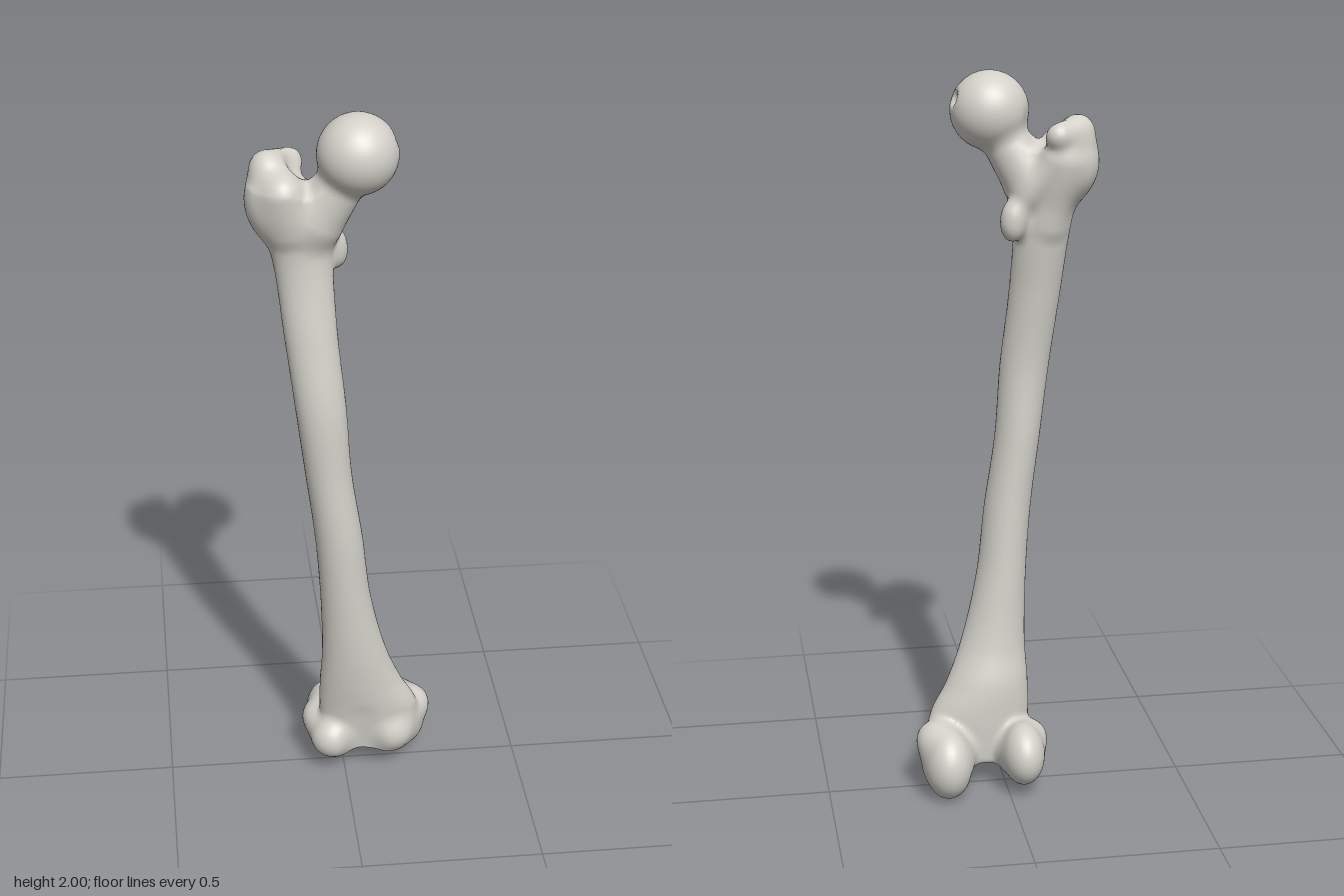
import * as THREE from 'three';

// Distance to an ellipsoid
const ellipsoid = (cx, cy, cz, rx, ry, rz) => (x, y, z) => {
  const a = (x - cx) / rx, b = (y - cy) / ry, c = (z - cz) / rz;
  const k0 = Math.hypot(a, b, c), k1 = Math.hypot(a / rx, b / ry, c / rz);
  return k1 < 1e-6 ? -Math.min(rx, ry, rz) : k0 * (k0 - 1) / k1;
};
const ball = (x, y, z, r) => ellipsoid(x, y, z, r, r, r);

// Distance to a tapered rod with round ends
const rod = (a, ra, b, rb) => {
  const d = b.map((v, i) => v - a[i]);
  const len2 = d[0] ** 2 + d[1] ** 2 + d[2] ** 2;
  return (x, y, z) => {
    const px = x - a[0], py = y - a[1], pz = z - a[2];
    const t = Math.min(1, Math.max(0, (px * d[0] + py * d[1] + pz * d[2]) / len2));
    return Math.hypot(px - d[0] * t, py - d[1] * t, pz - d[2] * t) - ra - (rb - ra) * t;
  };
};

// Shaft cross-sections: y, centre x, centre z, radius x, radius z
const sections = [
  [0.07, 0.065, 0.015, 0.12, 0.055], [0.2, 0.07, 0.02, 0.14, 0.068],
  [0.3, 0.045, 0.03, 0.115, 0.073], [0.4, 0.0275, 0.0475, 0.0925, 0.0675],
  [0.6, 0, 0.065, 0.07, 0.065], [0.8, -0.02, 0.075, 0.065, 0.065],
  [1.0, -0.0475, 0.0775, 0.0625, 0.0625], [1.2, -0.0675, 0.08, 0.0675, 0.06],
  [1.4, -0.09, 0.0575, 0.07, 0.0575], [1.6, -0.1075, 0.03, 0.0775, 0.06],
  [1.7, -0.12, 0.03, 0.09, 0.063], [1.78, -0.135, 0.033, 0.085, 0.06],
];
const sectionAt = new THREE.CubicInterpolant(
  sections.map((s) => s[0]), sections.flatMap((s) => s.slice(1)), 4);
const shaft = (x, y, z) => {
  const [cx, cz, rx, rz] = sectionAt.evaluate(y);
  const c = (z - cz) / rz;
  // Slightly narrower towards the back ridge
  const w = rx * (1 + 0.1 * Math.max(-1, Math.min(0, c)));
  const a = (x - cx) / w;
  const k0 = Math.hypot(a, c), k1 = Math.hypot(a / w, c / rz);
  const d = k1 < 1e-6 ? -Math.min(rx, rz) : k0 * (k0 - 1) / k1;
  return Math.max(d, 0.07 - y, y - 1.78);
};

// Parts of the bone: name, shape, softness of the blend into its neighbours
const parts = [
  ['shaft', shaft, 0],
  ['neck', rod([0.02, 1.87, 0.06], 0.058, [-0.07, 1.72, 0.035], 0.073), 0.04],
  ['greaterTrochanter', ellipsoid(-0.175, 1.765, 0.015, 0.078, 0.1, 0.08), 0.05],
  ['greaterTrochanter', rod([-0.135, 1.84, -0.048], 0.036, [-0.195, 1.848, 0.0], 0.04), 0.035],
  ['greaterTrochanter', rod([-0.16, 1.8, 0.072], 0.045, [-0.14, 1.7, 0.05], 0.045), 0.03],
  ['greaterTrochanter', rod([-0.15, 1.77, -0.038], 0.036, [-0.12, 1.6, 0.0], 0.03), 0.035],
  ['lesserTrochanter', rod([-0.12, 1.77, -0.035], 0.022, [-0.03, 1.64, -0.01], 0.022), 0.03],
  ['lesserTrochanter', ellipsoid(-0.02, 1.61, -0.01, 0.033, 0.05, 0.035), 0.03],
  ['head', ball(0.03, 1.896, 0.065, 0.104), 0.02],
  ['medialCondyle', ellipsoid(0.172, 0.1, -0.075, 0.068, 0.1, 0.093), 0.03],
  ['medialCondyle', rod([0.165, 0.1, -0.04], 0.07, [0.135, 0.12, 0.03], 0.065), 0.03],
  ['medialCondyle', ball(0.2, 0.155, -0.035, 0.054), 0.03],
  ['lateralCondyle', ellipsoid(-0.04, 0.115, -0.075, 0.06, 0.088, 0.09), 0.03],
  ['lateralCondyle', rod([-0.038, 0.105, -0.03], 0.065, [-0.035, 0.11, 0.04], 0.063), 0.03],
  ['lateralCondyle', ball(-0.07, 0.14, -0.02, 0.044), 0.03],
];

// Hollows: knee groove, notch between condyles, trochanter pit, dimple in the head
const hollows = [
  [rod([0.048, 0.0, 0.12], 0.055, [0.045, 0.18, 0.155], 0.055), 0.04],
  [rod([0.06, 0.025, -0.03], 0.036, [0.065, 0.07, -0.15], 0.042), 0.02],
  [ellipsoid(-0.105, 1.87, 0.0, 0.036, 0.05, 0.035), 0.03],
  [ball(0.129, 1.93, 0.056, 0.02), 0.012],
];

const softMin = (a, b, k) => {
  const h = Math.max(k - Math.abs(a - b), 0);
  return Math.min(a, b) - (k > 0 ? h * h / (4 * k) : 0);
};
const bone = (x, y, z) => {
  let d = 1e3;
  for (const [, shape, k] of parts) d = softMin(d, shape(x, y, z), k);
  for (const [shape, k] of hollows) d = -softMin(-d, shape(x, y, z), k);
  return d;
};
const gradient = (x, y, z, e = 0.002) => [
  (bone(x + e, y, z) - bone(x - e, y, z)) / (2 * e),
  (bone(x, y + e, z) - bone(x, y - e, z)) / (2 * e),
  (bone(x, y, z + e) - bone(x, y, z - e)) / (2 * e),
];

// Skin the blended shape with quads, sorted by the part they belong to
function skin() {
  const step = 0.01, min = [-0.2853, -0.0347, -0.2047], n = [58, 208, 42];
  const stride = [1, n[0], n[0] * n[1]];
  const field = new Float32Array(n[0] * n[1] * n[2]);
  const at = (i, j, k) => i + j * stride[1] + k * stride[2];
  const each = (from, fn) => {
    for (let k = from; k < n[2] - 1; k++)
      for (let j = from; j < n[1] - 1; j++)
        for (let i = from; i < n[0] - 1; i++) fn(i, j, k, at(i, j, k));
  };
  field.fill(1);
  each(0, (i, j, k, id) => {
    field[id] = bone(min[0] + i * step, min[1] + j * step, min[2] + k * step);
  });

  // One point in every cell the surface crosses, pulled onto the surface
  const positions = [], normals = [], pointOf = new Map();
  each(0, (i, j, k, id) => {
    const sum = [0, 0, 0];
    let count = 0;
    for (let c = 0; c < 8; c++) {
      for (let a = 0; a < 3; a++) {
        if (c & (1 << a)) continue;
        const o = [c & 1, (c >> 1) & 1, c >> 2];
        const p = id + at(...o), f0 = field[p], f1 = field[p + stride[a]];
        if ((f0 < 0) === (f1 < 0)) continue;
        o[a] += f0 / (f0 - f1);
        o.forEach((v, q) => { sum[q] += v; });
        count++;
      }
    }
    if (!count) return;
    const p = [i, j, k].map((v, q) => min[q] + (v + sum[q] / count) * step);
    for (let pass = 0; pass < 2; pass++) {
      const g = gradient(...p);
      const s = bone(...p) / Math.max(0.25, g[0] ** 2 + g[1] ** 2 + g[2] ** 2);
      const move = Math.max(-step / 3, Math.min(step / 3, s));
      g.forEach((v, q) => { p[q] -= v * move; });
    }
    const g = gradient(...p, 0.004), len = Math.hypot(...g) || 1;
    pointOf.set(id, positions.length / 3);
    positions.push(...p);
    normals.push(...g.map((v) => v / len));
  });

  // A quad around every grid edge the surface crosses
  const faces = {};
  each(1, (i, j, k, id) => {
    for (let a = 0; a < 3; a++) {
      const inside = field[id] < 0;
      if (inside === (field[id + stride[a]] < 0)) continue;
      const b = stride[(a + 1) % 3], c = stride[(a + 2) % 3];
      const q = [id, id - b, id - b - c, id - c].map((v) => pointOf.get(v));
      if (!inside) q.reverse();
      const p = positions.slice(q[0] * 3, q[0] * 3 + 3);
      let name = '', best = Infinity;
      for (const [label, shape] of parts) {
        const d = shape(...p);
        if (d < best) { best = d; name = label; }
      }
      (faces[name] ??= []).push(q[0], q[1], q[2], q[0], q[2], q[3]);
    }
  });
  return { positions, normals, faces };
}

export function createModel() {
  const group = new THREE.Group();
  group.name = 'thighBone';
  const material = new THREE.MeshStandardMaterial({ color: 0xd3d1c9 });
  material.name = 'bone';
  const { positions, normals, faces } = skin();
  for (const [name, index] of Object.entries(faces)) {
    const shared = new THREE.BufferGeometry();
    shared.setAttribute('position', new THREE.Float32BufferAttribute(positions, 3));
    shared.setAttribute('normal', new THREE.Float32BufferAttribute(normals, 3));
    shared.setIndex(index);
    const mesh = new THREE.Mesh(shared.toNonIndexed(), material);
    mesh.name = name;
    group.add(mesh);
  }
  return group;
}
